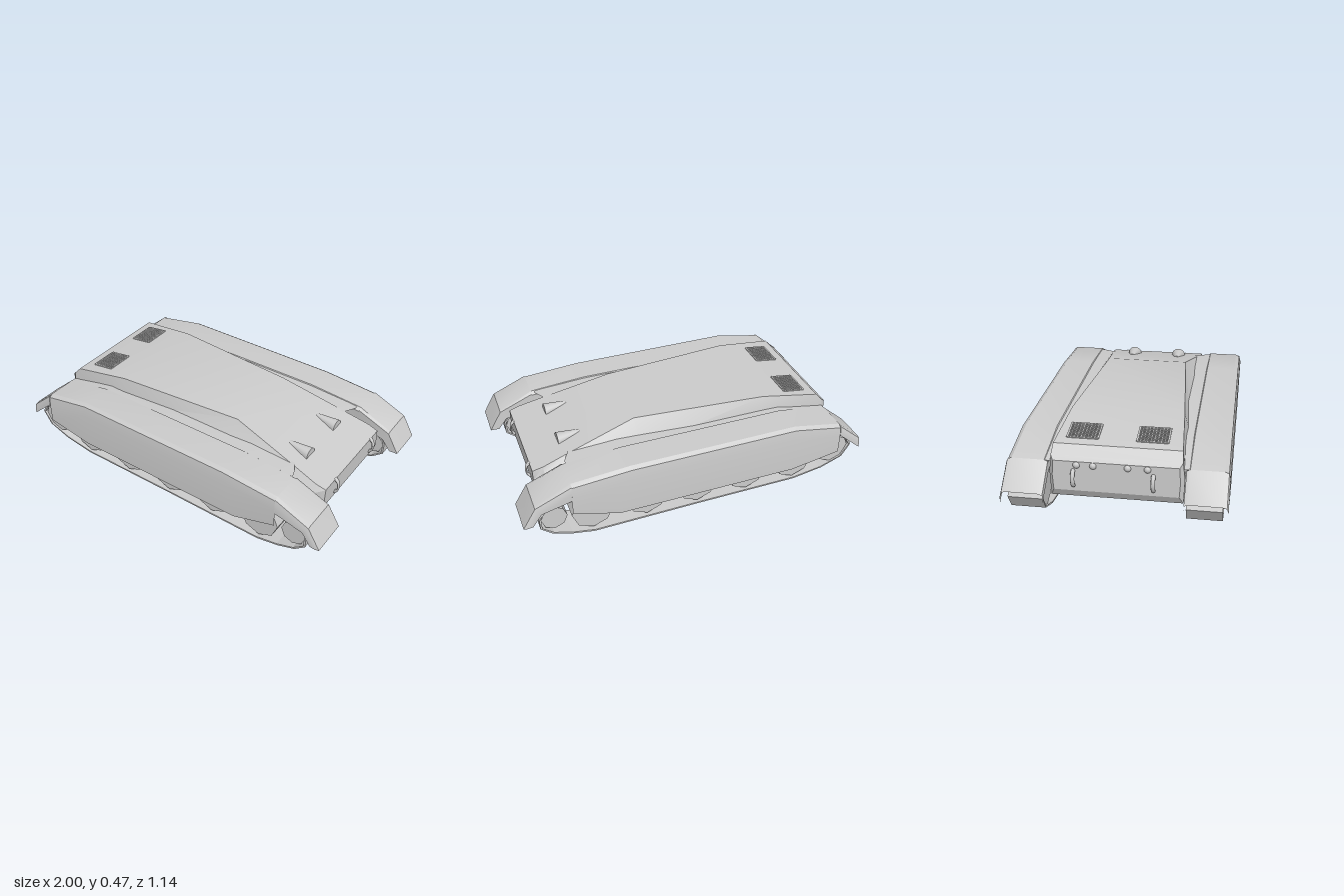
import * as THREE from 'three';
import { toCreasedNormals } from 'three/addons/utils/BufferGeometryUtils.js';

const grey = new THREE.MeshStandardMaterial({ color: 0xcccccc });
const flat = new THREE.MeshStandardMaterial({ color: 0xcccccc, flatShading: true });
const thin = new THREE.MeshStandardMaterial({ color: 0xcccccc, side: THREE.DoubleSide });

// Skin a row of cross-sections (arrays of [x, y, z]) ordered along +x
function loft(rings, closed) {
  const n = rings[0].length, idx = [];
  for (let i = 0; i < rings.length - 1; i++) {
    for (let j = 0; j < (closed ? n : n - 1); j++) {
      const k = (j + 1) % n;
      const a = i * n + j, b = a + n, c = (i + 1) * n + k, d = i * n + k;
      idx.push(a, b, c, a, c, d);
    }
  }
  if (closed) {
    const e = (rings.length - 1) * n;
    for (let j = 1; j < n - 1; j++) idx.push(0, j, j + 1, e, e + j + 1, e + j);
  }
  const geo = new THREE.BufferGeometry();
  geo.setAttribute('position', new THREE.Float32BufferAttribute(rings.flat(2), 3));
  geo.setIndex(idx);
  return toCreasedNormals(geo, 0.5);
}

function add(parent, name, geo, mat = grey, x = 0, y = 0, z = 0) {
  const mesh = new THREE.Mesh(geo, mat);
  mesh.name = name;
  mesh.position.set(x, y, z);
  parent.add(mesh);
  return mesh;
}

function buildHull() {
  // x, bottom y, bottom half width, belt y, belt half width, deck y, deck half width
  const sections = [
    [-0.885, 0.19, 0.32, 0.27, 0.325, 0.355, 0.32],
    [-0.86, 0.145, 0.34, 0.28, 0.345, 0.375, 0.335],
    [-0.82, 0.145, 0.34, 0.30, 0.345, 0.42, 0.33],
    [-0.48, 0.145, 0.34, 0.32, 0.345, 0.47, 0.305],
    [0.28, 0.145, 0.34, 0.33, 0.34, 0.47, 0.24],
    [0.70, 0.145, 0.34, 0.30, 0.335, 0.36, 0.29],
    [0.82, 0.145, 0.335, 0.28, 0.335, 0.327, 0.305],
    [0.88, 0.195, 0.30, 0.25, 0.305, 0.31, 0.30],
  ];
  return loft(sections.map(([x, yb, wb, ym, wm, yt, wt]) => [
    [x, yb, wb], [x, ym, wm], [x, yt, wt], [x, yt, -wt], [x, ym, -wm], [x, yb, -wb],
  ]), true);
}

// Open mudguard shell with its outer skirt
function buildFender(s) {
  // top x, top y, lower-edge x, lower-edge y, inner-lip depth
  const sections = [
    [-1, 0.22, -1, 0.155, 0.05],
    [-0.86, 0.34, -0.86, 0.275, 0.06],
    [-0.86, 0.34, -0.86, 0.16, 0.06],
    [-0.57, 0.395, -0.57, 0.11, 0.08],
    [0.40, 0.395, 0.48, 0.11, 0.08],
    [0.73, 0.37, 0.735, 0.19, 0.1],
    [0.73, 0.37, 0.735, 0.275, 0.1],
    [0.93, 0.28, 0.90, 0.235, 0.06],
    [1, 0.158, 0.95, 0.165, 0],
  ];
  return loft(sections.map(([xt, yt, xl, yl, lip]) => {
    const sh = Math.min(0.075, (yt - yl) * 0.5);
    const xs = xt + (xl - xt) * 0.4;
    const ring = [
      [xl, yl, 0.57], [xs, yt - sh, 0.57], [xt, yt - sh * 0.2, 0.562], [xt, yt, 0.54],
      [xt, yt, 0.37], [xt, yt - sh * 0.25, 0.352], [xl, yt - lip, 0.35],
    ].map(([x, y, z]) => [x, y, z * s]);
    return s > 0 ? ring : ring.reverse();
  }), false);
}

// Flat strip joining the mudguard to the hull
function buildSponson(s) {
  const rows = [[-0.86, 0.338, 0.34], [-0.57, 0.39, 0.31], [0.4, 0.39, 0.27], [0.67, 0.372, 0.27], [0.71, 0.368, 0.345]];
  return loft(rows.map(([x, y, z]) => {
    const ring = [[x, y, 0.38 * s], [x, y, z * s]];
    return s > 0 ? ring : ring.reverse();
  }), false);
}

// Thin closed track band
function buildTrack() {
  const outline = [
    [-0.96, 0.17], [-0.91, 0.09], [-0.78, 0.04], [-0.6, 0.01], [0, 0.008], [0.62, 0], [0.75, 0.025],
    [0.85, 0.06], [0.91, 0.11], [0.912, 0.19], [0.87, 0.235], [0.6, 0.275], [-0.6, 0.285], [-0.84, 0.27], [-0.93, 0.225],
  ];
  const loop = (k, ky) => outline.map(([x, y]) =>
    new THREE.Vector2(-0.02 + (x + 0.02) * k, 0.14 + (y - 0.14) * ky));
  const shape = new THREE.Shape(loop(1, 1));
  shape.holes.push(new THREE.Path(loop(0.989, 0.93)));
  const geo = new THREE.ExtrudeGeometry(shape, { depth: 0.182, bevelEnabled: false });
  return geo.translate(0, 0, -0.091);
}

function buildWheel(r) {
  return new THREE.CylinderGeometry(r, r, 0.16, 8).rotateX(Math.PI / 2);
}

// Half-round hood that tapers towards the rear
function buildHood() {
  const half = (x, y, r, h) => Array.from({ length: 11 }, (_, i) => {
    const a = Math.PI * i / 10;
    return [x, y + h * Math.sin(a), r * Math.cos(a)];
  });
  return loft([half(0.57, 0.385, 0.014, 0.014), half(0.70, 0.362, 0.043, 0.04)], true);
}

// Framed mesh of crossed bars
function buildGrille() {
  const g = new THREE.Group();
  g.name = 'engineGrille';
  const L = 0.13, W = 0.16, n = 9;
  for (let i = 0; i <= n; i++) {
    const t = i / n - 0.5, edge = i === 0 || i === n ? 0.009 : 0.005;
    add(g, 'crossBar', new THREE.BoxGeometry(edge, 0.006, W), grey, t * L, 0, 0);
    add(g, 'longBar', new THREE.BoxGeometry(L, 0.006, edge), grey, 0, 0, t * W);
  }
  return g;
}

export function createModel() {
  const model = new THREE.Group();
  model.name = 'trackedHull';
  add(model, 'hull', buildHull());

  // Running gear and mudguards on both sides
  for (const s of [1, -1]) {
    const side = new THREE.Group();
    side.name = s > 0 ? 'leftRunningGear' : 'rightRunningGear';
    model.add(side);
    add(side, 'fender', buildFender(s), thin);
    add(side, 'sponson', buildSponson(s), thin);
    add(side, 'track', buildTrack(), flat, 0, 0, s * 0.451);
    for (const x of [-0.59, -0.29, 0.01, 0.31, 0.62]) {
      add(side, 'roadWheel', buildWheel(0.115), flat, x, 0.14, s * 0.451);
    }
    add(side, 'driveWheel', buildWheel(0.072), flat, 0.83, 0.157, s * 0.451);
    add(side, 'idlerWheel', buildWheel(0.1), flat, -0.84, 0.168, s * 0.451);
  }

  // Vision hoods on the glacis
  for (const z of [0.155, -0.14]) add(model, 'visionHood', buildHood(), grey, 0, 0, z);

  // Towing loops front and rear
  for (const z of [0.19, -0.217]) {
    for (const e of [1, -1]) {
      const loop = add(model, 'towLoop', new THREE.TorusGeometry(0.043, 0.011, 8, 14, Math.PI), grey, e * 0.876, 0.262, z);
      loop.rotation.z = -e * Math.PI / 2;
      loop.scale.y = e > 0 ? 0.55 : 0.8;
    }
  }

  // Rear lamps
  for (const z of [-0.2, -0.115, 0.06, 0.16]) {
    add(model, 'rearLamp', new THREE.SphereGeometry(0.02, 12, 8), grey, -0.877, 0.335, z);
  }

  // Grilles on the sloping engine deck
  for (const z of [0.17, -0.19]) {
    const grille = buildGrille();
    grille.position.set(-0.7, 0.4395, z);
    grille.rotation.z = Math.atan2(0.05, 0.34);
    model.add(grille);
  }
  return model;
}
